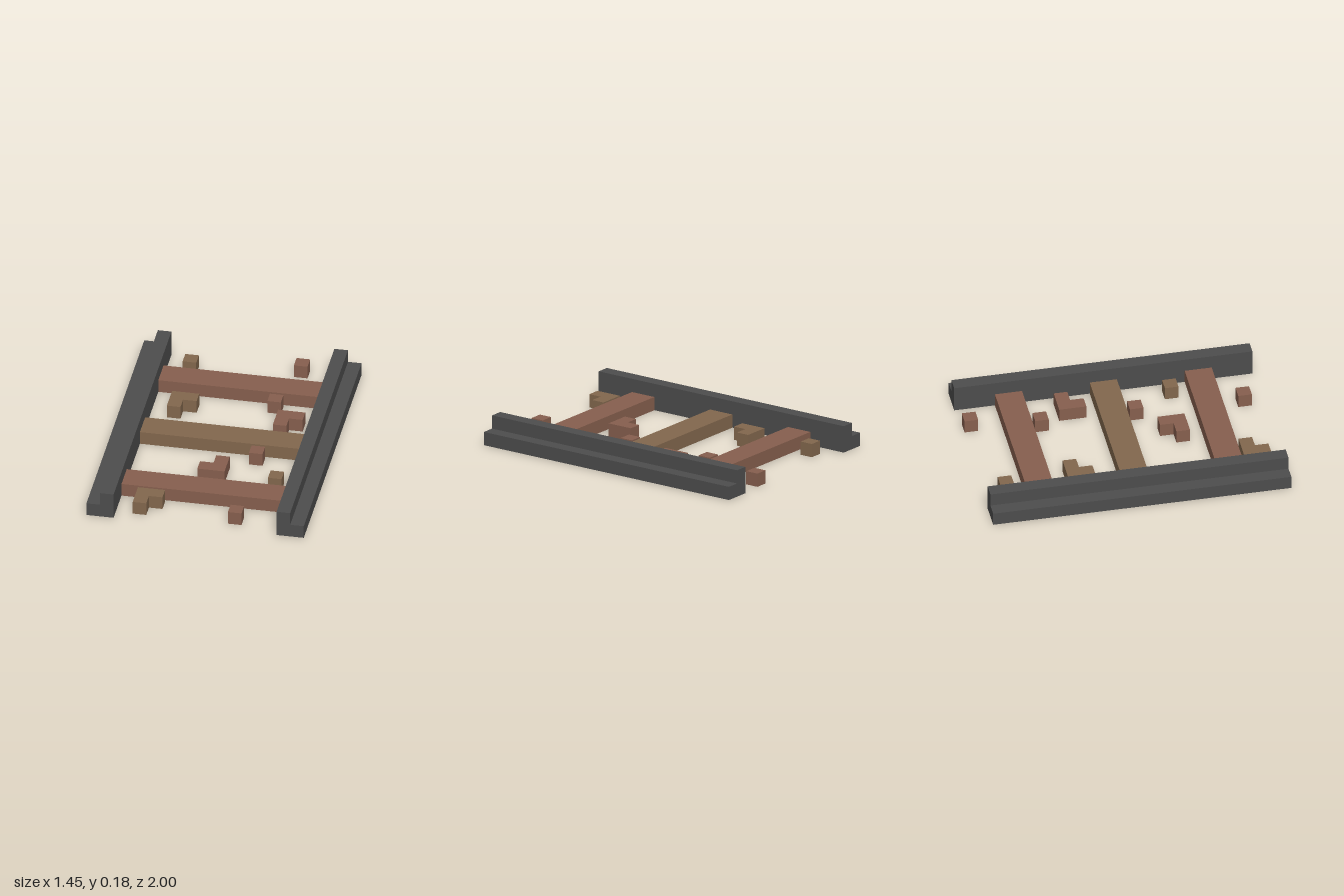
import * as THREE from 'three';

const U = 1 / 11; // block unit
const material = (color) => new THREE.MeshStandardMaterial({ color, flatShading: true });

const extrude = (points, depth) =>
  new THREE.ExtrudeGeometry(new THREE.Shape(points.map(([x, y]) => new THREE.Vector2(x * U, y * U))), {
    depth, bevelEnabled: false,
  });

export function createModel() {
  const model = new THREE.Group();
  const steel = material(0x4d4d4d);
  const redWood = material(0x865f4e);
  const paleWood = material(0x82674d);

  const add = (name, geometry, mat, x = 0, y = 0, z = 0) => {
    const mesh = new THREE.Mesh(geometry, mat);
    mesh.name = name;
    mesh.position.set(x, y, z);
    model.add(mesh);
  };

  // Rails: stepped profile, tall on the inner side, low flange outside
  const profile = [[6, 0], [8, 0], [8, 1], [7, 1], [7, 2], [6, 2]];
  const mirrored = profile.map(([x, y]) => [-x, y]).reverse();
  add('leftRail', extrude(profile, 2), steel, 0, 0, -1);
  add('rightRail', extrude(mirrored, 2), steel, 0, 0, -1);

  // Cross ties between the rails
  [[-7, redWood, 'backTie'], [0, paleWood, 'middleTie'], [7, redWood, 'frontTie']].forEach(([z, mat, name]) =>
    add(name, new THREE.BoxGeometry(12 * U, U, 2 * U), mat, 0, U / 2, z * U));

  // Single-block debris: x and z of the block centre
  [
    [-0.386, -0.845, paleWood], [0.341, -0.936, redWood], [0.251, -0.481, redWood],
    [0.251, 0.154, redWood], [0.431, 0.426, paleWood], [0.251, 0.881, redWood],
  ].forEach(([x, z, mat], i) => add(`debrisBlock${i + 1}`, new THREE.BoxGeometry(U, U, U), mat, x, U / 2, z));

  // L-shaped debris: x and z of the corner-piece centre, and its turn
  const ell = extrude([[-1, -1], [0, -1], [0, 0], [1, 0], [1, 1], [-1, 1]], U).rotateX(-Math.PI / 2);
  [
    [-0.341, -0.346, 0, paleWood], [0.386, -0.256, 0, redWood],
    [0, 0.36, Math.PI, redWood], [-0.341, 0.835, 0, paleWood],
  ].forEach(([x, z, turn, mat], i) => {
    add(`debrisCorner${i + 1}`, ell, mat, x, 0, z);
    model.children.at(-1).rotation.y = turn;
  });

  return model;
}
